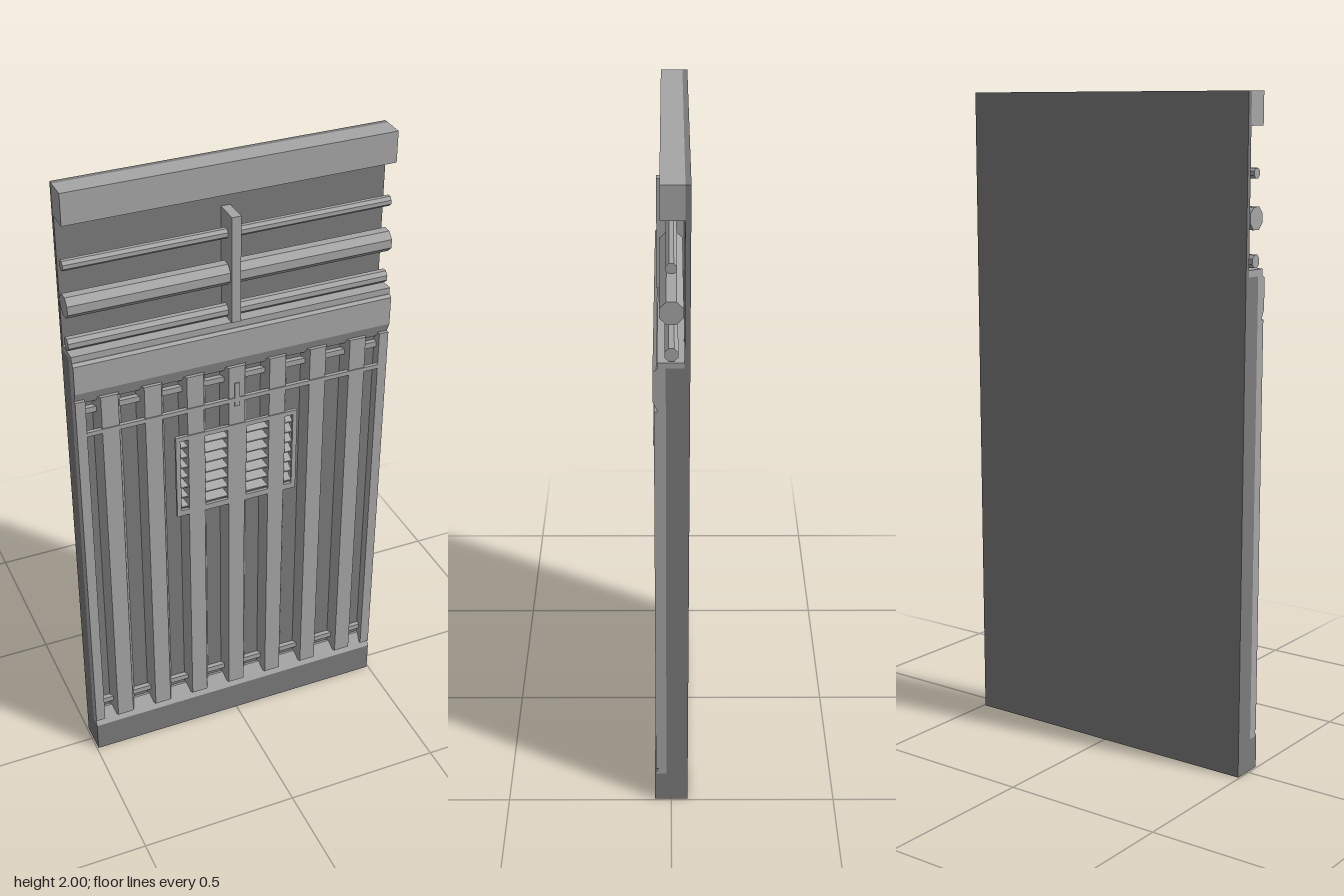
import * as THREE from 'three';

const W = 0.99; // full panel width

export function createModel() {
  const model = new THREE.Group();
  model.name = 'wallPanel';

  const light = new THREE.MeshStandardMaterial({ color: 0xa6a6a6 });
  light.name = 'light grey metal';
  const dark = new THREE.MeshStandardMaterial({ color: 0x7b7b7b });
  dark.name = 'dark grey metal';

  const add = (name, geometry, material) => {
    const mesh = new THREE.Mesh(geometry, material);
    mesh.name = name;
    model.add(mesh);
    return mesh;
  };
  // Box given by its limits on each axis
  const box = (name, mat, x0, x1, y0, y1, z0, z1) => {
    const g = new THREE.BoxGeometry(x1 - x0, y1 - y0, z1 - z0);
    g.translate((x0 + x1) / 2, (y0 + y1) / 2, (z0 + z1) / 2);
    return add(name, g, mat);
  };
  const shapeOf = (pts) => new THREE.Shape(pts.map(([a, b]) => new THREE.Vector2(a, b)));
  // Profile of [z, y] points run along x
  const runX = (name, mat, pts, width, cx = 0) => {
    const g = new THREE.ExtrudeGeometry(shapeOf(pts), { depth: width, bevelEnabled: false });
    g.rotateY(-Math.PI / 2);
    g.translate(cx + width / 2, 0, 0);
    return add(name, g, mat);
  };
  // Profile of [x, z] points run along y
  const runY = (name, mat, pts, y0, y1) => {
    const g = new THREE.ExtrudeGeometry(shapeOf(pts.map(([x, z]) => [x, -z])), { depth: y1 - y0, bevelEnabled: false });
    g.rotateX(-Math.PI / 2);
    g.translate(0, y0, 0);
    return add(name, g, mat);
  };

  // Wall body, thin upper backing and top beam
  box('lowerWall', dark, -W / 2, W / 2, 0, 1.49, -0.05, 0.015);
  box('upperBacking', dark, -W / 2, W / 2, 1.49, 2, -0.05, -0.035);
  box('topBeam', light, -W / 2, W / 2, 1.905, 2, -0.035, 0.03);

  // Base kerb with sloped top
  box('base', dark, -W / 2, W / 2, 0, 0.1, 0.015, 0.05);
  runX('baseSlope', light, [[0.015, 0.1], [0.05, 0.1], [0.022, 0.15], [0.015, 0.15]], W);

  // Middle band with chamfered underside, and the ledge above it
  runX('middleBand', light, [
    [0.015, 1.345], [0.03, 1.345], [0.05, 1.39], [0.05, 1.48], [0.04, 1.487], [0.015, 1.487],
  ], W);
  box('ledge', light, -W / 2, W / 2, 1.487, 1.507, -0.035, 0.038);

  // Horizontal pipes across the upper bay
  for (const [y, r] of [[1.775, 0.016], [1.65, 0.035], [1.53, 0.02]]) {
    const g = new THREE.CylinderGeometry(r, r, W, 8).toNonIndexed();
    g.rotateY(Math.PI / 8);
    g.rotateZ(Math.PI / 2);
    g.computeVertexNormals();
    g.translate(0, y, 0);
    add('pipe', g, light);
  }
  box('pipeBracket', light, -0.014, 0.014, 1.507, 1.84, -0.035, 0.042);

  // Tapered vertical ribs and straight edge strips
  for (let i = -3; i <= 3; i++) {
    const x = i * 0.131;
    runY('rib', light, [[x - 0.042, 0.015], [x - 0.026, 0.047], [x + 0.026, 0.047], [x + 0.042, 0.015]], 0.12, 1.36);
  }
  for (const s of [-1, 1]) {
    box('edgeStrip', light, s * 0.48 - 0.015, s * 0.48 + 0.015, 0.12, 1.36, 0.015, 0.047);
  }

  // Cross bars at the ends of the recesses
  for (const y of [0.183, 1.315]) {
    box('crossBar', light, -0.47, 0.47, y - 0.009, y + 0.009, 0.015, 0.03);
  }

  // Thin rail with its centre clip
  box('rail', light, -0.465, 0.465, 1.24, 1.254, 0.038, 0.05);
  box('railClip', light, -0.008, 0.008, 1.225, 1.305, 0.038, 0.0505);

  // Vent plate with four openings
  const plate = shapeOf([[-0.197, 0.87], [0.197, 0.87], [0.197, 1.16], [-0.197, 1.16]]);
  const openings = [[-0.17, 0.026], [-0.067, 0.074], [0.067, 0.074], [0.17, 0.026]];
  for (const [cx, w] of openings) {
    const a = cx - w / 2, b = cx + w / 2;
    plate.holes.push(new THREE.Path([[a, 0.89], [a, 1.145], [b, 1.145], [b, 0.89]].map(([x, y]) => new THREE.Vector2(x, y))));
  }
  const plateGeo = new THREE.ExtrudeGeometry(plate, { depth: 0.01, bevelEnabled: false });
  plateGeo.translate(0, 0, 0.04);
  add('ventPlate', plateGeo, light);

  // Sloping louvre slats in each opening
  for (const [cx, w] of openings) {
    for (let i = 0; i < 7; i++) {
      const y = 0.897 + i * 0.0365;
      runX('louvre', light, [[0.016, y], [0.046, y], [0.046, y + 0.004], [0.02, y + 0.023], [0.016, y + 0.023]], w, cx);
    }
  }
  return model;
}
